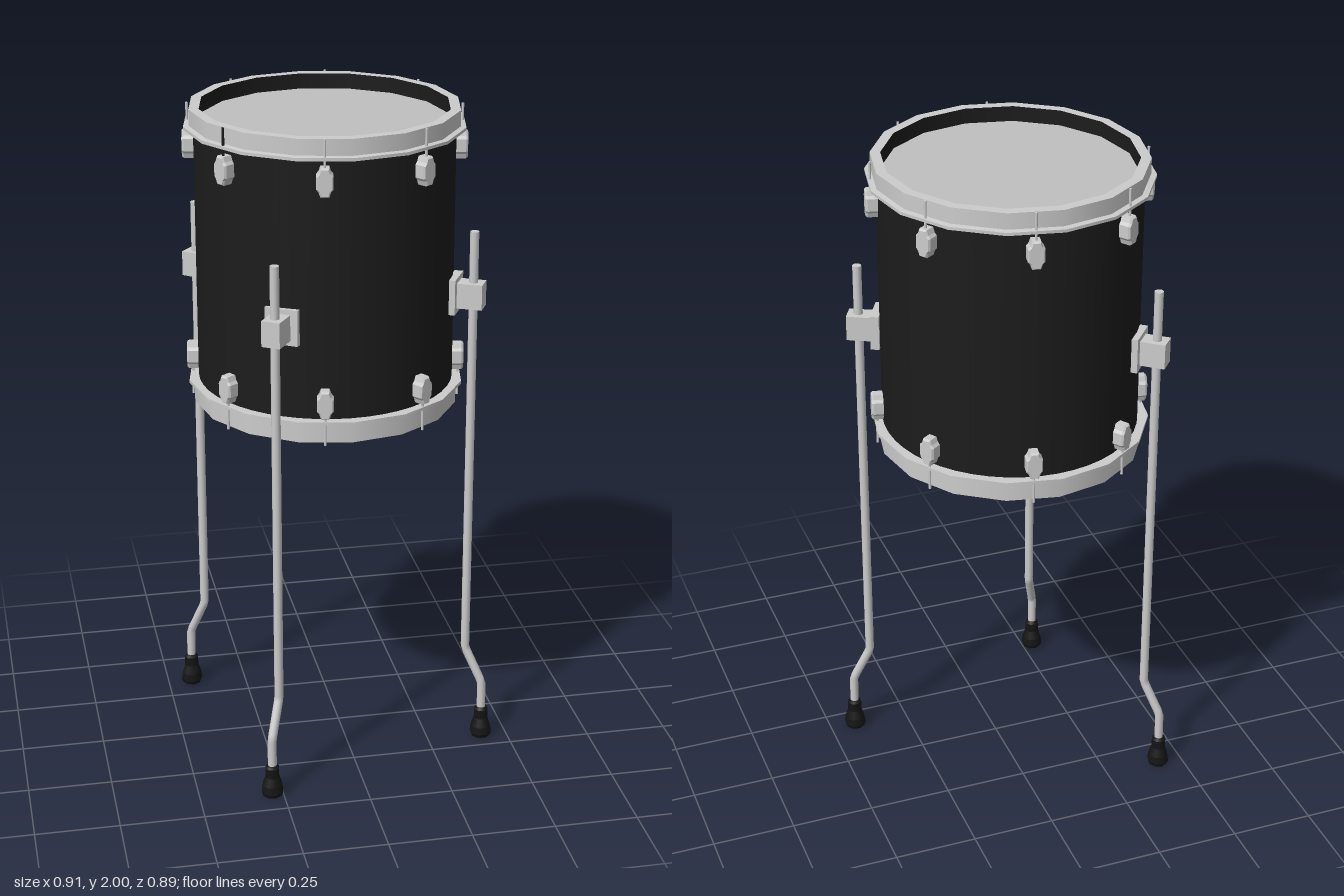
import * as THREE from 'three';
import { mergeGeometries } from 'three/addons/utils/BufferGeometryUtils.js';

const chrome = new THREE.MeshStandardMaterial({ color: 0xcccccc });
const black = new THREE.MeshStandardMaterial({ color: 0x1c1c1c });
const skin = new THREE.MeshStandardMaterial({ color: 0xc0c0c0 });
const rubber = new THREE.MeshStandardMaterial({ color: 0x151515 });
chrome.name = 'chrome';
black.name = 'black lacquer';
skin.name = 'drum skin';
rubber.name = 'rubber';

function add(parent, name, geometry, material, x = 0, y = 0, z = 0) {
  const mesh = new THREE.Mesh(geometry, material);
  mesh.name = name;
  mesh.position.set(x, y, z);
  parent.add(mesh);
  return mesh;
}

// Turned surface, smooth around the axis and crisp between profile points
function turned(points, sides) {
  const bands = [];
  for (let i = 0; i < points.length - 1; i++) {
    const pair = [points[i], points[i + 1]].map(([r, y]) => new THREE.Vector2(r, y));
    bands.push(new THREE.LatheGeometry(pair, sides));
  }
  return mergeGeometries(bands);
}

// Lug casing: waisted outline with a small bevel, front along +z
function lugGeometry() {
  const half = [[0.012, 0.04], [0.017, 0.026], [0.024, 0.018], [0.024, -0.018], [0.017, -0.026], [0.012, -0.04]];
  const outline = [...half, ...half.map(([x, y]) => [-x, y]).reverse()];
  const shape = new THREE.Shape(outline.map(([x, y]) => new THREE.Vector2(x, y)));
  return new THREE.ExtrudeGeometry(shape, {
    depth: 0.034, bevelEnabled: true, bevelSize: 0.004, bevelThickness: 0.006,
    bevelOffset: -0.003, bevelSegments: 1,
  });
}

function buildDrum() {
  const drum = new THREE.Group();
  drum.name = 'drum';
  drum.position.set(-0.036, 0, -0.022);
  drum.scale.x = 0.96;

  const shell = new THREE.CylinderGeometry(0.394, 0.394, 0.8, 48, 1, true);
  add(drum, 'shell', shell, black, 0, 1.55, 0);

  // Hoops with an outward flange on the shell side
  const topHoop = [[0.39, 1.94], [0.427, 1.94], [0.427, 1.949], [0.41, 1.951], [0.41, 1.998], [0.379, 1.998]];
  add(drum, 'topHoop', turned(topHoop, 16), chrome);
  add(drum, 'topHoopLining', turned([[0.379, 1.998], [0.379, 1.945]], 16), black);
  const bottomHoop = [[0.379, 1.15], [0.379, 1.112], [0.41, 1.112], [0.41, 1.17], [0.427, 1.171], [0.427, 1.18], [0.39, 1.18]];
  add(drum, 'bottomHoop', turned(bottomHoop, 16), chrome);

  // Heads
  const head = new THREE.CircleGeometry(0.385, 16);
  add(drum, 'topHead', head, skin, 0, 1.952, 0).rotation.x = -Math.PI / 2;
  add(drum, 'bottomHead', head, skin, 0, 1.148, 0).rotation.x = Math.PI / 2;

  // Eight pairs of lugs with tension rods
  const lug = lugGeometry();
  const rod = new THREE.CylinderGeometry(0.004, 0.004, 0.12, 8);
  for (let i = 0; i < 8; i++) {
    const station = new THREE.Group();
    station.name = 'tensionStation' + (i + 1);
    station.rotation.y = THREE.MathUtils.degToRad(-56.25 + 45 * i);
    drum.add(station);
    add(station, 'topLug', lug, chrome, 0, 1.88, 0.389);
    add(station, 'bottomLug', lug, chrome, 0, 1.232, 0.389);
    add(station, 'topRod', rod, i === 0 ? black : chrome, 0, 1.94, 0.412);
    add(station, 'bottomRod', rod, chrome, 0, 1.167, 0.412);
  }
  return drum;
}

// Leg with clamp and foot; local +z points away from the drum
function buildLeg(name, x, z, degrees) {
  const leg = new THREE.Group();
  leg.name = name;
  leg.position.set(x, 0, z);
  leg.rotation.y = THREE.MathUtils.degToRad(degrees);

  // Bent rod
  const path = [[1.645, 0], [0.3, 0], [0.185, 0.055], [0.06, 0.056]]
    .map(([y, out]) => new THREE.Vector3(0, y, out));
  const curve = new THREE.CatmullRomCurve3(path, false, 'catmullrom', 0);
  curve.arcLengthDivisions = 600;
  add(leg, 'legRod', new THREE.TubeGeometry(curve, 80, 0.0135, 10), chrome);
  add(leg, 'legRodTop', new THREE.CircleGeometry(0.0135, 10), chrome, 0, 1.645, 0).rotation.x = -Math.PI / 2;

  // Clamp
  add(leg, 'bracketPlate', new THREE.BoxGeometry(0.1, 0.106, 0.026), chrome, 0, 1.453, -0.056);
  add(leg, 'clampBlock', new THREE.BoxGeometry(0.056, 0.076, 0.1), chrome, 0, 1.453, -0.018);

  // Rubber foot
  const foot = [[0, 0], [0.029, 0], [0.034, 0.012], [0.031, 0.035], [0.022, 0.062], [0.022, 0.092], [0.017, 0.1], [0, 0.1]];
  add(leg, 'foot', turned(foot, 8), rubber, 0, 0, 0.056);
  return leg;
}

export function createModel() {
  const model = new THREE.Group();
  model.name = 'floorTom';
  model.add(
    buildDrum(),
    buildLeg('leftLeg', 0.37, 0.157, 62.5),
    buildLeg('rightFrontLeg', -0.252, 0.365, -33),
    buildLeg('rightBackLeg', -0.381, -0.304, -130),
  );
  return model;
}
